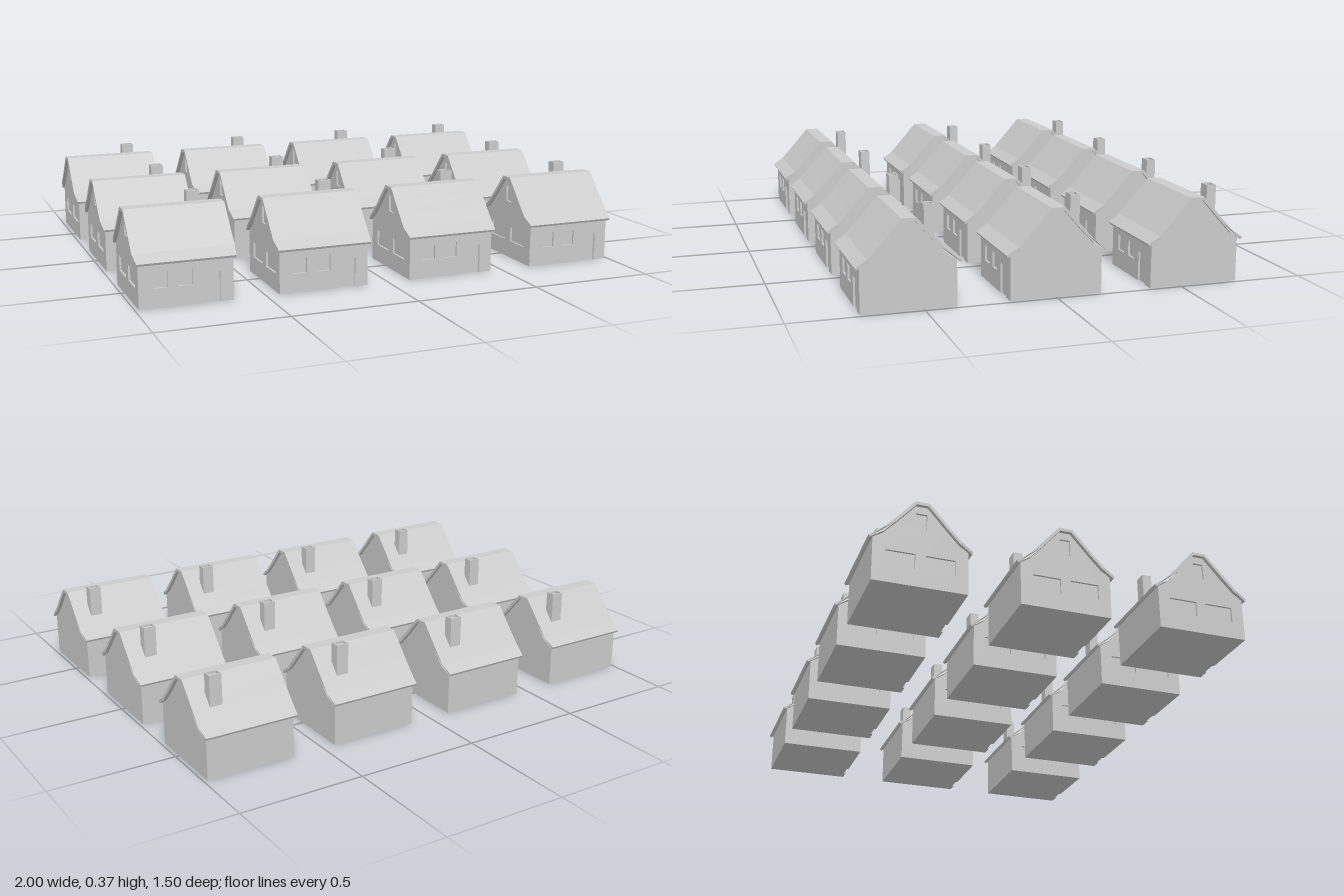
import * as THREE from 'three';

const material = new THREE.MeshStandardMaterial({ color: 0xcccccc, flatShading: true });

const W = 0.179;        // half width of the walls along x
const D = 0.178;        // half depth of the walls along z
const SKIN = 0.008;     // thickness of the wall skins that carry the recesses

// Right half of the roof section, (z, y), from ridge to eave
const OUTER = [[0.027, 0.341], [0.065, 0.298], [0.105, 0.252], [0.15, 0.203], [0.195, 0.174]];
const INNER = [[0.022, 0.329], [0.057, 0.289], [0.097, 0.243], [0.143, 0.194], [0.190, 0.165]];

const mirror = (pts) => pts.map(([z, y]) => [-z, y]);
const toShape = (pts) => new THREE.Shape(pts.map(([a, b]) => new THREE.Vector2(a, b)));

function rectPath(x0, x1, y0, y1) {
  return new THREE.Path([[x0, y0], [x0, y1], [x1, y1], [x1, y0]].map(([a, b]) => new THREE.Vector2(a, b)));
}

const extrude = (shape, depth) => new THREE.ExtrudeGeometry(shape, { depth, bevelEnabled: false });

// Extrudes a (z, y) section along x, from x0 to x1
function extrudeX(shape, x0, x1) {
  return extrude(shape, x1 - x0).rotateY(-Math.PI / 2).translate(x1, 0, 0);
}

// Gable wall section; the front is set back to leave room for the front skin
function gableShape() {
  const slope = INNER.slice(0, 4).map(([z, y]) => [z, y + 0.003]);
  const front = D - SKIN;
  return toShape([
    [-D, 0], [front, 0], [front, 0.177],
    ...slope.slice().reverse(), ...mirror(slope), [-D, 0.173],
  ]);
}

function makeParts() {
  const parts = {};

  // Solid core of the house
  parts.walls = extrudeX(gableShape(), -W + SKIN, W);

  // Left-hand gable skin with two wide windows and a narrow loft window
  const gable = gableShape();
  gable.holes.push(
    rectPath(-0.13, -0.02, 0.07, 0.13),
    rectPath(0.02, 0.13, 0.07, 0.13),
    rectPath(-0.021, 0.021, 0.235, 0.3),
  );
  parts.gableWall = extrudeX(gable, -W, -W + SKIN);

  // Front skin with a doorway notch and two windows
  const front = toShape([
    [-W, 0], [0.066, 0], [0.066, 0.115], [0.128, 0.115], [0.128, 0], [W, 0], [W, 0.173], [-W, 0.173],
  ]);
  front.holes.push(rectPath(-0.125, -0.07, 0.075, 0.135), rectPath(-0.03, 0.025, 0.075, 0.135));
  parts.frontWall = extrude(front, SKIN).translate(0, 0, D - SKIN);

  // Folded roof shell, drawn in slightly at the eaves
  const section = toShape([
    ...mirror(OUTER).reverse(), ...OUTER,
    ...INNER.slice().reverse(), ...mirror(INNER),
  ]);
  parts.roof = extrudeX(section, -0.1935, 0.1935);
  const p = parts.roof.attributes.position;
  for (let i = 0; i < p.count; i++) {
    if (Math.abs(p.getZ(i)) > 0.17) p.setX(i, p.getX(i) * 0.965);
  }
  parts.roof.computeVertexNormals();

  // Chimney shaft and its thin rim
  parts.chimney = new THREE.BoxGeometry(0.05, 0.155, 0.038).translate(0.1, 0.2825, -0.09);
  const rim = toShape([[-0.025, -0.019], [0.025, -0.019], [0.025, 0.019], [-0.025, 0.019]]);
  rim.holes.push(rectPath(-0.02, 0.02, -0.014, 0.014));
  parts.chimneyRim = extrude(rim, 0.01).rotateX(-Math.PI / 2).translate(0.1, 0.36, -0.09);

  return parts;
}

export function createModel() {
  const model = new THREE.Group();
  model.name = 'village';
  const parts = makeParts();

  // Three rows of four identical houses
  for (let row = 0; row < 3; row++) {
    for (let col = 0; col < 4; col++) {
      const house = new THREE.Group();
      house.name = `house${row * 4 + col + 1}`;
      for (const [name, geometry] of Object.entries(parts)) {
        const mesh = new THREE.Mesh(geometry, material);
        mesh.name = name;
        house.add(mesh);
      }
      house.position.set((col - 1.5) * 0.5377, 0, (row - 1) * 0.556);
      model.add(house);
    }
  }
  return model;
}
